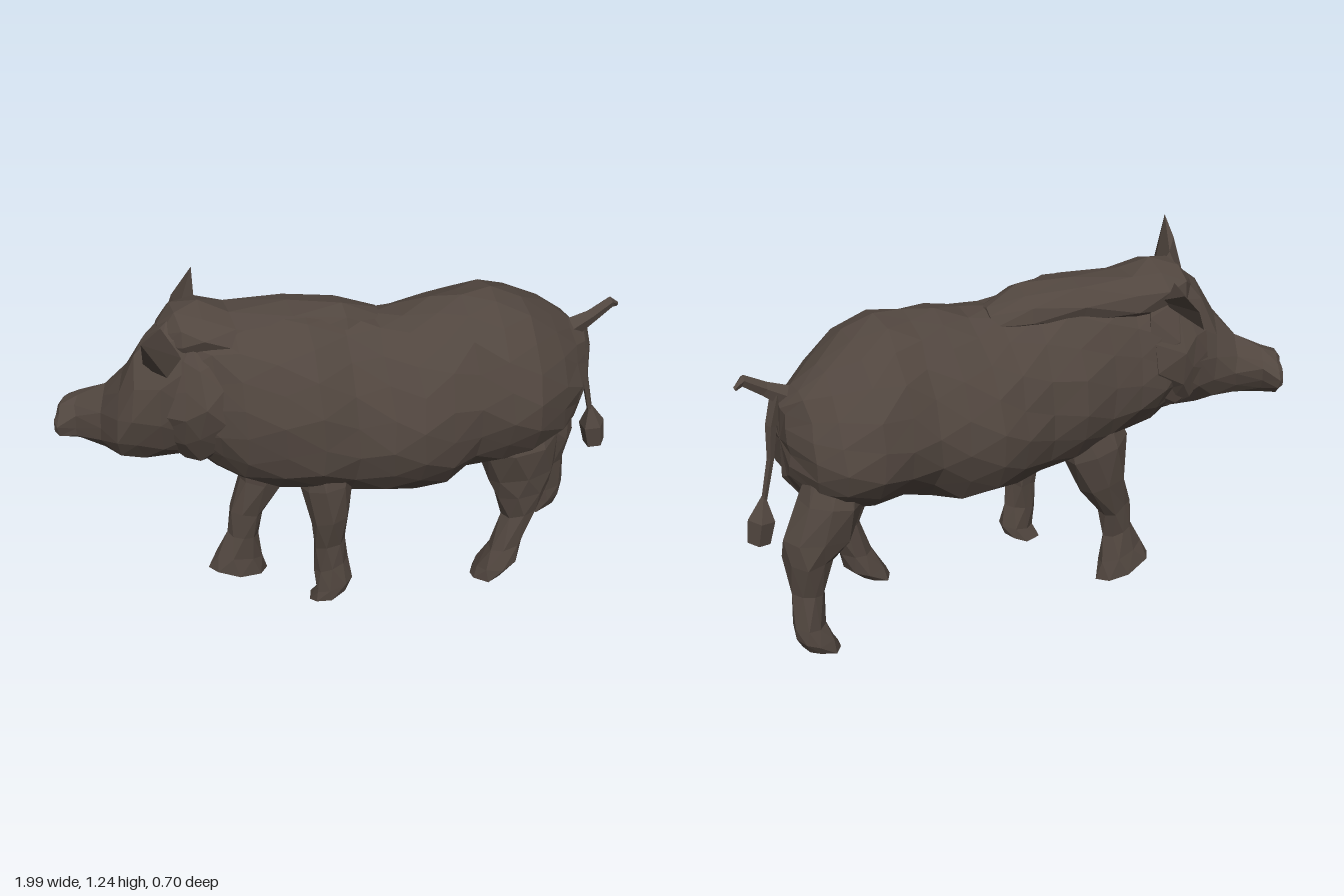
import * as THREE from 'three';

const hide = new THREE.MeshStandardMaterial({ color: 0x51463f });
hide.name = 'dark brown hide';
hide.side = THREE.DoubleSide;

// Repeatable rough offset in -1..1
const rough = (n) => {
  const s = Math.sin(n * 127.1 + 11.7) * 43758.5453;
  return (s - Math.floor(s)) * 2 - 1;
};

function facetMesh(name, positions, index) {
  let g = new THREE.BufferGeometry();
  g.setAttribute('position', new THREE.Float32BufferAttribute(positions, 3));
  g.setIndex(index);
  g = g.toNonIndexed();
  g.computeVertexNormals();
  const m = new THREE.Mesh(g, hide);
  m.name = name;
  return m;
}

// Closed skin through sections [t, a0, a1, z0, z1]:
// along 'x' the a range is y, along 'y' the a range is x.
// skew leans each ring; egg widens its low side; jitter roughens the facets.
function loft(name, axis, sections, { sides = 12, skew = 0, egg = 0, jitter = 0.008 } = {}) {
  const pos = [], index = [];
  const put = (t, a, z) => (axis === 'x' ? pos.push(t, a, z) : pos.push(a, t, z));
  sections.forEach(([t, a0, a1, z0, z1], s) => {
    for (let i = 0; i < sides; i++) {
      const ang = ((i + (s % 2) * 0.4) / sides) * Math.PI * 2, k = s * sides + i;
      const da = Math.cos(ang) * (a1 - a0) / 2;
      const dz = Math.sin(ang) * (1 - egg * Math.cos(ang)) * (z1 - z0) / 2;
      put(t + skew * (axis === 'x' ? dz : da) + rough(k) * jitter,
        (a0 + a1) / 2 + da + rough(k + 500) * jitter,
        (z0 + z1) / 2 + dz + rough(k + 900) * jitter);
    }
  });
  const rings = sections.length, c = rings * sides;
  for (const [t, a0, a1, z0, z1] of [sections[0], sections[rings - 1]]) put(t, (a0 + a1) / 2, (z0 + z1) / 2);
  // (a, z) turns positively about +x and negatively about +y
  const up = sections[rings - 1][0] > sections[0][0];
  const flip = (axis === 'x') !== up;
  const tri = (p, q, r) => (flip ? index.push(p, r, q) : index.push(p, q, r));
  for (let i = 0; i < sides; i++) {
    const j = (i + 1) % sides;
    for (let s = 0; s < rings - 1; s++) {
      const o = s * sides, n = o + sides;
      // split each quad along its shorter diagonal
      if (s % 2) {
        tri(o + i, o + j, n + j);
        tri(o + i, n + j, n + i);
      } else {
        tri(o + i, o + j, n + i);
        tri(o + j, n + j, n + i);
      }
    }
    tri(c, j, i);
    tri(c + 1, c - sides + i, c - sides + j);
  }
  return facetMesh(name, pos, index);
}

// Tapered bent cord through points
function cord(name, pts, radii) {
  const pos = [], index = [], n = 5;
  pts.forEach(([x, y, z], s) => {
    for (let i = 0; i < n; i++) {
      const a = (i / n) * Math.PI * 2, r = radii[s];
      const p = pts[Math.max(s - 1, 0)], q = pts[Math.min(s + 1, pts.length - 1)];
      const dx = q[0] - p[0], dy = q[1] - p[1], l = Math.hypot(dx, dy);
      pos.push(x - (dy / l) * Math.cos(a) * r, y + (dx / l) * Math.cos(a) * r, z + Math.sin(a) * r);
      if (s) {
        const j = (i + 1) % n, o = (s - 1) * n, m = s * n;
        index.push(o + i, o + j, m + j, o + i, m + j, m + i);
      }
    }
  });
  return facetMesh(name, pos, index);
}

export function createModel() {
  const boar = new THREE.Group();
  boar.name = 'boar';

  // Barrel body, chest to rump
  boar.add(loft('body', 'x', [
    [-0.56, 0.67, 1.18, -0.22, 0.11],
    [-0.48, 0.61, 1.19, -0.23, 0.15],
    [-0.40, 0.57, 1.18, -0.22, 0.20],
    [-0.28, 0.53, 1.18, -0.23, 0.25],
    [-0.16, 0.51, 1.18, -0.25, 0.29],
    [-0.04, 0.49, 1.16, -0.245, 0.275],
    [0.08, 0.47, 1.13, -0.265, 0.305],
    [0.18, 0.47, 1.14, -0.28, 0.335],
    [0.29, 0.465, 1.16, -0.265, 0.315],
    [0.39, 0.51, 1.17, -0.245, 0.29],
    [0.49, 0.54, 1.18, -0.26, 0.335],
    [0.60, 0.54, 1.14, -0.28, 0.325],
    [0.72, 0.56, 1.07, -0.25, 0.25],
    [0.80, 0.60, 1.01, -0.19, 0.18],
    [0.855, 0.68, 0.95, -0.07, 0.10],
  ], { sides: 18, egg: 0.18, jitter: 0.008 }));

  // Head turned to one side, ending in a slanted snout
  boar.add(loft('head', 'x', [
    [-0.50, 0.65, 1.19, -0.21, 0.10],
    [-0.60, 0.65, 1.19, -0.24, 0.10],
    [-0.69, 0.655, 1.11, -0.24, 0.08],
    [-0.75, 0.66, 0.99, -0.23, 0.04],
    [-0.82, 0.68, 0.90, -0.23, -0.06],
    [-0.90, 0.69, 0.86, -0.26, -0.13],
    [-0.95, 0.69, 0.83, -0.315, -0.14],
    [-0.97, 0.71, 0.81, -0.295, -0.16],
  ], { sides: 12, skew: -0.45, egg: 0.08, jitter: 0.008 }));

  // Crumpled ruff of bristles behind the cheeks
  boar.add(loft('ruff', 'x', [
    [-0.66, 0.72, 1.04, -0.23, 0.09],
    [-0.59, 0.65, 1.14, -0.25, 0.13],
    [-0.54, 0.64, 1.16, -0.25, 0.16],
    [-0.46, 0.66, 1.12, -0.22, 0.15],
  ], { sides: 13, jitter: 0.014 }));

  // Shaggy flat-topped ridge along the shoulders
  boar.add(loft('mane', 'x', [
    [-0.64, 1.07, 1.15, -0.13, 0.0],
    [-0.58, 1.04, 1.205, -0.19, 0.06],
    [-0.50, 1.02, 1.23, -0.20, 0.08],
    [-0.40, 1.02, 1.20, -0.185, 0.09],
    [-0.20, 1.04, 1.20, -0.15, 0.10],
    [-0.02, 1.05, 1.185, -0.12, 0.10],
    [0.11, 1.05, 1.13, -0.07, 0.07],
  ], { sides: 9, jitter: 0.008 }));

  // Pointed ears: front, top, back and outer corner of the base, then tip and edge
  const ear = (name, pts, index) => boar.add(facetMesh(name, pts.flat(), index));
  ear('leftEar', [[-0.70, 1.03, -0.01], [-0.64, 1.19, 0.03], [-0.58, 1.08, 0.05],
    [-0.65, 1.08, 0.16], [-0.735, 1.25, 0.22], [-0.70, 1.21, 0.10]],
  [0, 4, 5, 0, 5, 1, 1, 5, 4, 1, 4, 2, 2, 4, 3, 3, 4, 0]);
  ear('rightEar', [[-0.63, 1.01, -0.17], [-0.55, 1.16, -0.13], [-0.49, 1.10, -0.15],
    [-0.57, 1.04, -0.315], [-0.46, 1.20, -0.35], [-0.54, 1.115, -0.325]],
  [0, 5, 1, 1, 5, 4, 1, 4, 2, 2, 4, 5, 2, 5, 3, 0, 3, 5, 0, 2, 3]);

  // Legs in mid stride
  const leg = (name, rows, skew) => boar.add(loft(name, 'y', rows, { sides: 8, skew, jitter: 0.008 }));
  leg('rightFrontLeg', [
    [0.74, -0.32, -0.14, -0.17, -0.04], [0.57, -0.38, -0.14, -0.21, -0.05],
    [0.43, -0.37, -0.21, -0.20, -0.06], [0.30, -0.41, -0.29, -0.17, -0.08],
    [0.20, -0.42, -0.31, -0.17, -0.08], [0.11, -0.47, -0.29, -0.18, -0.08],
    [0.035, -0.50, -0.28, -0.19, -0.07]], -0.28);
  leg('leftFrontLeg', [
    [0.74, -0.18, -0.02, 0.10, 0.21], [0.58, -0.21, -0.03, 0.09, 0.245],
    [0.44, -0.185, -0.05, 0.11, 0.24], [0.32, -0.17, -0.06, 0.12, 0.21],
    [0.22, -0.17, -0.05, 0.12, 0.21], [0.14, -0.17, -0.03, 0.12, 0.22],
    [0.09, -0.19, -0.05, 0.11, 0.22]], 0.25);
  leg('leftHindLeg', [
    [0.78, 0.47, 0.66, 0.08, 0.22], [0.62, 0.43, 0.72, 0.08, 0.28],
    [0.50, 0.47, 0.72, 0.09, 0.26], [0.42, 0.50, 0.70, 0.11, 0.25],
    [0.33, 0.53, 0.67, 0.13, 0.24], [0.20, 0.48, 0.61, 0.13, 0.25],
    [0.12, 0.44, 0.59, 0.12, 0.27], [0.075, 0.42, 0.54, 0.13, 0.26]], 0.15);
  leg('rightHindLeg', [
    [0.78, 0.62, 0.78, -0.16, -0.03], [0.62, 0.63, 0.85, -0.22, -0.02],
    [0.50, 0.68, 0.91, -0.21, -0.04], [0.42, 0.75, 0.92, -0.20, -0.05],
    [0.30, 0.79, 0.90, -0.19, -0.08], [0.18, 0.79, 0.91, -0.20, -0.09],
    [0.12, 0.77, 0.90, -0.21, -0.09], [0.075, 0.75, 0.88, -0.20, -0.10]], 0.15);

  // Tail: raised root, hanging cord and tuft
  boar.add(cord('tailRoot', [[0.82, 0.96, 0.02], [0.89, 1.0, 0.03], [0.96, 1.045, 0.03], [0.99, 1.025, 0.02]],
    [0.04, 0.025, 0.02, 0.008]));
  boar.add(cord('tailCord', [[0.85, 0.98, 0.02], [0.88, 0.87, 0.02], [0.89, 0.75, 0.02], [0.925, 0.59, 0.02]],
    [0.025, 0.02, 0.013, 0.01]));
  boar.add(cord('tailTuft', [[0.925, 0.61, 0.02], [0.94, 0.53, 0.015], [0.955, 0.445, 0.015]],
    [0.008, 0.048, 0.04]));
  return boar;
}
